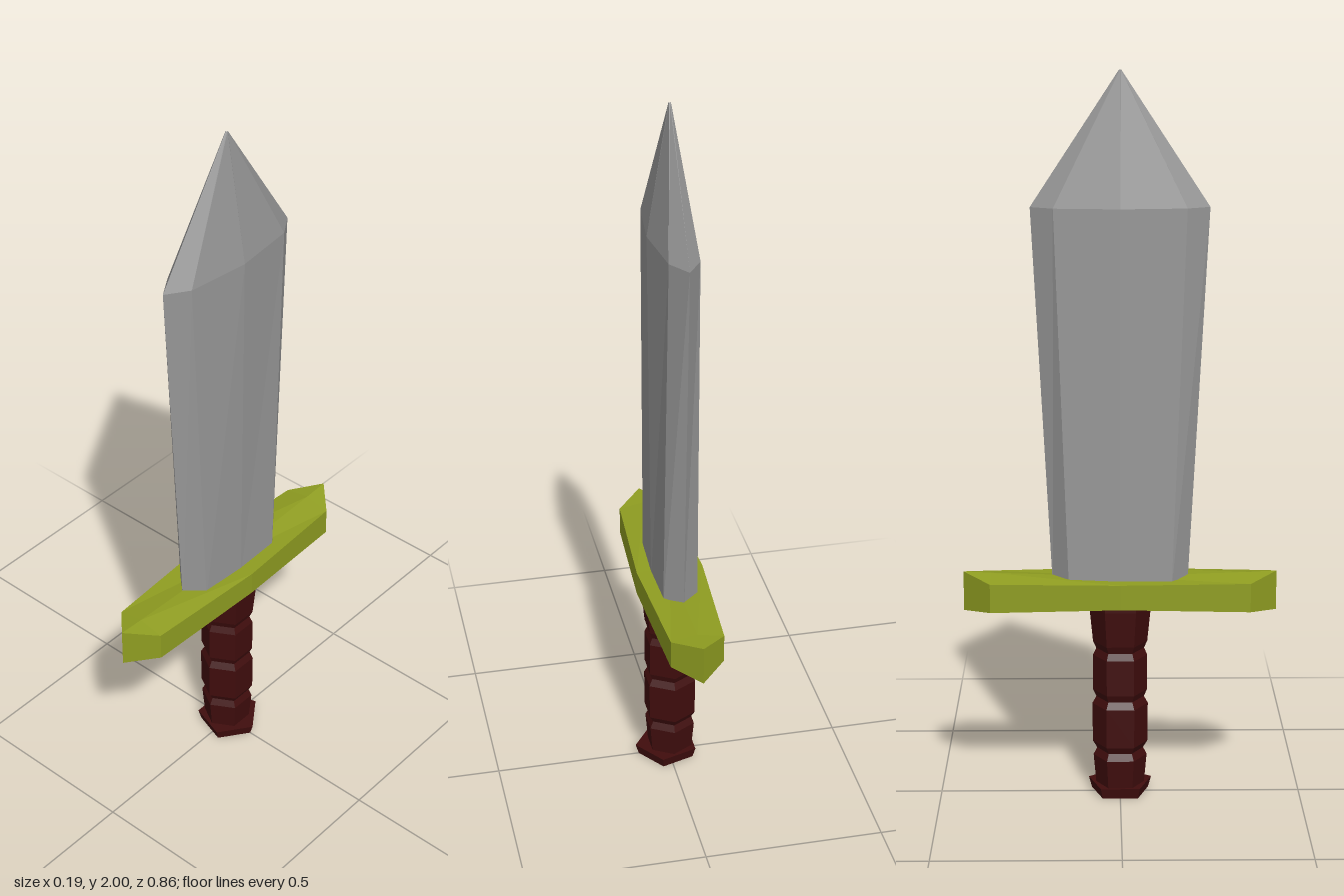
import * as THREE from 'three';

const material = (color) => new THREE.MeshStandardMaterial({ color, flatShading: true });

// Skin a stack of equal-length rings, each a list of [x, y, z] corners.
function loft(rings) {
  const n = rings[0].length;
  const index = [];
  for (let r = 0; r < rings.length - 1; r++) {
    for (let i = 0; i < n; i++) {
      const a = r * n + i, b = r * n + (i + 1) % n;
      index.push(a, b, b + n, a, b + n, a + n);
    }
  }
  const g = new THREE.BufferGeometry();
  g.setAttribute('position', new THREE.Float32BufferAttribute(rings.flat(2), 3));
  g.setIndex(index);
  g.computeVertexNormals();
  return g;
}

export function createModel() {
  const group = new THREE.Group();
  const add = (name, geometry, mat) => {
    const mesh = new THREE.Mesh(geometry, mat);
    mesh.name = name;
    mesh.position.x = -0.005;
    group.add(mesh);
    return mesh;
  };

  // Blade: eight-sided section with bevelled edges, widening upward to the point
  const bladeRing = (y, edge, bevelX, bevelZ, thick) => [
    [0, y, edge], [bevelX, y, bevelZ], [thick, y, 0], [bevelX, y, -bevelZ],
    [0, y, -edge], [-bevelX, y, -bevelZ], [-thick, y, 0], [-bevelX, y, bevelZ],
  ];
  add('blade', loft([
    bladeRing(0.6, 0.185, 0.048, 0.14, 0.053),
    bladeRing(1.64, 0.24, 0.041, 0.178, 0.061),
    bladeRing(2, 0.003, 0.002, 0.002, 0.003),
  ]), material(0x979797));

  // Guard: sections along z, tapering to upright edges at both ends
  const guardRing = (z, w, sideLow, sideHigh, midLow, midHigh) => [
    [w, sideLow, z], [w, sideHigh, z], [0, midHigh, z],
    [-w, sideHigh, z], [-w, sideLow, z], [0, midLow, z],
  ];
  add('guard', loft([
    guardRing(-0.43, 0, 0.53, 0.64, 0.53, 0.64),
    guardRing(-0.355, 0.073, 0.542, 0.622, 0.535, 0.636),
    guardRing(0, 0.094, 0.555, 0.624, 0.555, 0.624),
    guardRing(0.355, 0.073, 0.542, 0.622, 0.535, 0.636),
    guardRing(0.43, 0, 0.53, 0.64, 0.53, 0.64),
  ]), material(0x8f9d21));

  // Grip: six-sided with pinched grooves
  const red = material(0x400d0d);
  const profile = (pts) => pts.map(([r, y]) => new THREE.Vector2(r, y));
  add('grip', new THREE.LatheGeometry(profile([
    [0.066, 0.02], [0.074, 0.11], [0.064, 0.13], [0.076, 0.15],
    [0.077, 0.26], [0.066, 0.28], [0.075, 0.3], [0.075, 0.4],
    [0.066, 0.42], [0.075, 0.44], [0.085, 0.54], [0.085, 0.58],
  ]), 6), red);

  // Pommel: five-sided flared cap with one corner toward +x
  const pommel = add('pommel', new THREE.LatheGeometry(profile([
    [0, 0], [0.083, 0], [0.092, 0.03], [0, 0.03],
  ]), 5), red);
  pommel.rotation.y = Math.PI / 2;
  pommel.position.x = 0.004;

  return group;
}
